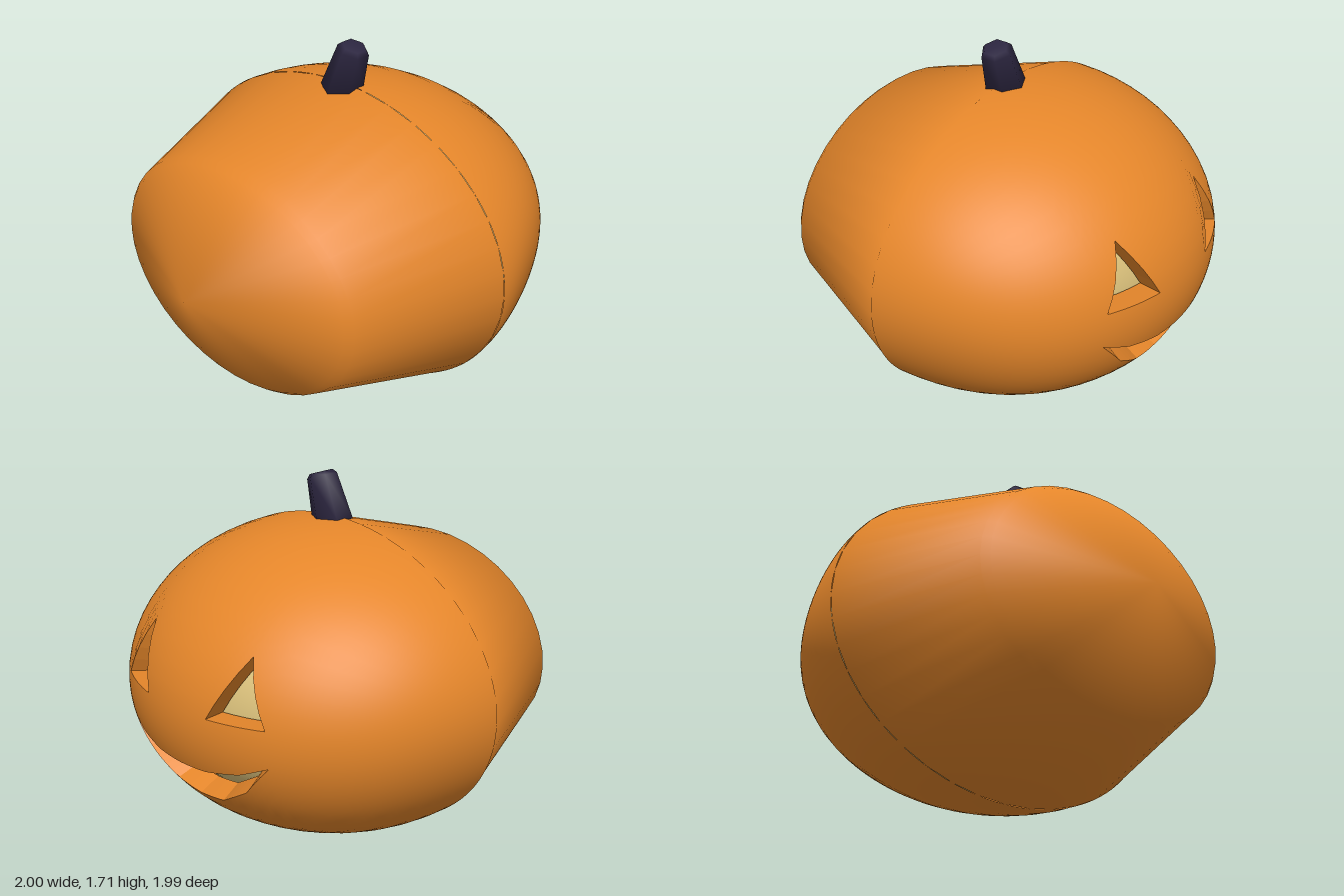
import * as THREE from 'three';

const CY = 0.755, RY = 0.75; // centre height and vertical radius of the body
const INNER = 0.88; // inner face of the carved wall
const { lerp, clamp } = THREE.MathUtils;

// Piecewise linear curve through [x, y] points
function curve(points, x) {
  for (let i = 1; i < points.length; i++) {
    const [x0, y0] = points[i - 1], [x1, y1] = points[i];
    if (x <= x1) return lerp(y0, y1, clamp((x - x0) / (x1 - x0), 0, 1));
  }
  return points[points.length - 1][1];
}

// Carved openings, mirrored in x: heights of their lower and upper edges
const mouthLow = [[0, 0.37], [0.16, 0.39], [0.34, 0.5], [0.48, 0.66]];
const mouthHigh = [[0, 0.56], [0.16, 0.565], [0.34, 0.6], [0.48, 0.66]];
const eyeLow = [[0.2, 0.835], [0.47, 0.835]];
const eyeHigh = [[0.2, 0.835], [0.335, 1.115], [0.47, 0.835]];
const edges = [mouthLow, mouthHigh, eyeLow, eyeHigh];

// Point on the carved half at longitude t and latitude a, with flattened cheeks
function shellPoint(t, a, s = 1) {
  const x = Math.sin(t), y = Math.cos(t) * Math.sin(a), z = -Math.cos(t) * Math.cos(a);
  const r = s * (1 + 0.24 * x ** 8 * z);
  return [r * x, CY + r * RY * y, r * z];
}

// Rounded shading normal of the whole body
const bodyNormal = (x, y, z) =>
  new THREE.Vector3(x, (y - CY) / RY ** 2, z).normalize().toArray();

// Columns that pass exactly through every corner of the openings
function columnAngles() {
  const half = [0, 0.16, 0.2, 0.335, 0.34, 0.47, 0.48, 1].map(Math.asin);
  const stops = [...half.slice(1).reverse().map((t) => -t), ...half];
  const angles = [stops[0]];
  for (let i = 1; i < stops.length; i++) {
    const n = Math.max(1, Math.round((stops[i] - stops[i - 1]) / 0.04));
    for (let k = 1; k <= n; k++) angles.push(lerp(stops[i - 1], stops[i], k / n));
  }
  return angles;
}

// Latitudes of bottom, opening edges and top in one column
function columnLatitudes(t) {
  const c = Math.max(Math.cos(t), 1e-6), x = Math.abs(Math.sin(t));
  const cuts = edges.map((e) => Math.asin(clamp((curve(e, x) - CY) / RY / c, -1, 1)));
  return [-Math.PI / 2, ...cuts, Math.PI / 2];
}

// Curved skin: three bands per column, leaving the eyes and mouth open
function carvedSkin() {
  const pos = [], nor = [], idx = [], rows = 12, cols = columnAngles();
  for (const band of [0, 2, 4]) {
    const base = pos.length / 3;
    cols.forEach((t, i) => {
      const lat = columnLatitudes(t);
      for (let j = 0; j <= rows; j++) {
        const p = shellPoint(t, lerp(lat[band], lat[band + 1], j / rows));
        pos.push(...p);
        nor.push(...bodyNormal(...p));
        if (i && j) {
          const d = base + i * (rows + 1) + j, c = d - 1, b = d - rows - 1, a = b - 1;
          idx.push(a, b, c, c, b, d);
        }
      }
    });
  }
  const g = new THREE.BufferGeometry();
  g.setAttribute('position', new THREE.Float32BufferAttribute(pos, 3));
  g.setAttribute('normal', new THREE.Float32BufferAttribute(nor, 3));
  g.setIndex(idx);
  return g;
}

// Cut faces through the wall along the edges of one opening
function cutWall(low, side) {
  const pos = [], cols = columnAngles();
  for (let i = 1; i < cols.length; i++) {
    const t0 = cols[i - 1], t1 = cols[i];
    if (side && Math.sign(t0 + t1) !== side) continue;
    const l0 = columnLatitudes(t0), l1 = columnLatitudes(t1);
    if (l0[low + 1] - l0[low] + l1[low + 1] - l1[low] < 1e-4) continue;
    for (const k of [low, low + 1]) {
      const a = shellPoint(t0, l0[k]), b = shellPoint(t1, l1[k]);
      const c = shellPoint(t0, l0[k], INNER), d = shellPoint(t1, l1[k], INNER);
      pos.push(...a, ...b, ...c, ...c, ...b, ...d);
    }
  }
  const g = new THREE.BufferGeometry();
  g.setAttribute('position', new THREE.Float32BufferAttribute(pos, 3));
  g.computeVertexNormals();
  return g;
}

// Plain half: blunt cone turned around z, shaded as a round body
function plainSkin() {
  const profile = [[1, 0], [0.735, 0.69], [0.705, 0.72], [0, 0.995]];
  const g = new THREE.LatheGeometry(profile.map(([r, z]) => new THREE.Vector2(r, z)), 40);
  g.rotateX(Math.PI / 2).scale(1, RY, 1).translate(0, CY, 0);
  const p = g.attributes.position;
  for (let i = 0; i < p.count; i++) {
    g.attributes.normal.setXYZ(i, ...bodyNormal(p.getX(i), p.getY(i), p.getZ(i)));
  }
  return g;
}

export function createModel() {
  const group = new THREE.Group();
  const orange = new THREE.MeshStandardMaterial({ color: 0xe5862a, side: THREE.DoubleSide });
  const cream = new THREE.MeshStandardMaterial({ color: 0xdcc27c, side: THREE.DoubleSide });
  const purple = new THREE.MeshStandardMaterial({ color: 0x2c2640 });
  const add = (name, geometry, material) => {
    const mesh = new THREE.Mesh(geometry, material);
    mesh.name = name;
    group.add(mesh);
    return mesh;
  };

  add('plainHalf', plainSkin(), orange);

  // Carved half with the cut edges of its openings
  add('carvedHalf', carvedSkin(), orange);
  add('mouthCut', cutWall(1, 0), orange);
  add('leftEyeCut', cutWall(3, 1), orange);
  add('rightEyeCut', cutWall(3, -1), orange);

  // Pale flesh seen through the openings
  const flesh = new THREE.SphereGeometry(INNER - 0.01, 32, 16, 0, Math.PI * 2, 0, Math.PI / 2);
  flesh.rotateX(-Math.PI / 2).scale(1, RY, 1).translate(0, CY, 0);
  add('innerFlesh', flesh, cream);

  // Leaning six-sided stem with a bevelled top
  const stemProfile = [[0, -0.02], [0.1, -0.02], [0.075, 0.205], [0.058, 0.225], [0, 0.225]];
  const stem = add('stem',
    new THREE.LatheGeometry(stemProfile.map(([r, y]) => new THREE.Vector2(r, y)), 6), purple);
  stem.position.set(0.025, 1.485, 0);
  stem.rotation.z = -0.33;
  return group;
}
